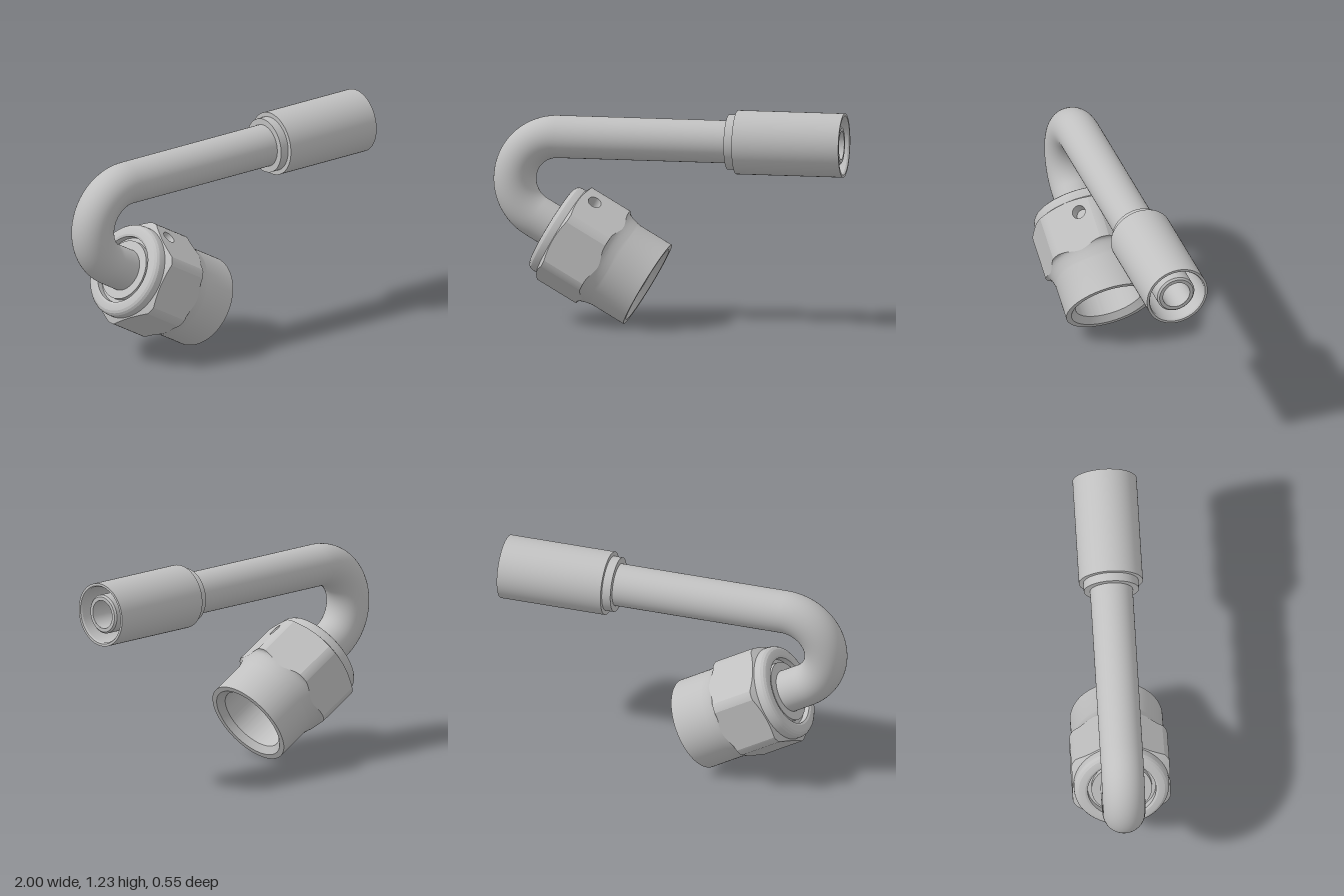
import * as THREE from 'three';
import { toCreasedNormals } from 'three/addons/utils/BufferGeometryUtils.js';

const TUBE_Y = 1.05, BEND_R = 0.245, BEND_X = -0.635;
const SWEEP = THREE.MathUtils.degToRad(150);
const BEND_END = new THREE.Vector3(
  BEND_X - BEND_R * Math.sin(SWEEP), TUBE_Y - BEND_R + BEND_R * Math.cos(SWEEP), 0);
const FLAT = 0.275, CORNER = 0.305, NECK = 0.26; // nut radii

// Centre line: straight run, 150 degree bend, short straight run into the nut
class PipePath extends THREE.Curve {
  constructor(startX, tail) {
    super();
    this.startX = startX;
    this.run = startX - BEND_X;
    this.tail = tail;
  }
  getPoint(u, target = new THREE.Vector3()) {
    const arc = BEND_R * SWEEP;
    const d = u * (this.run + arc + this.tail);
    if (d < this.run) return target.set(this.startX - d, TUBE_Y, 0);
    if (d < this.run + arc) {
      const a = (d - this.run) / BEND_R;
      return target.set(BEND_X - BEND_R * Math.sin(a), TUBE_Y - BEND_R + BEND_R * Math.cos(a), 0);
    }
    const e = d - this.run - arc;
    return target.set(BEND_END.x - e * Math.cos(SWEEP), BEND_END.y - e * Math.sin(SWEEP), 0);
  }
}

// Nut cross-section at one angle, as [distance along axis, radius]
function nutSection(phi) {
  const sector = Math.PI / 3;
  const h = Math.min(FLAT / Math.cos((phi % sector) - sector / 2), CORNER);
  const rows = [
    [0.115, 0.12], [0.115, 0.17], [0.14, 0.17], [0.14, 0.192], [0.105, 0.192],   // gland and groove
    [0.1, 0.205], [0.1, 0.225], [0.104, 0.243], [0.112, 0.256], [0.125, 0.265],  // rounded collar
    [0.14, 0.268], [0.165, 0.268],
    [0.165 + 0.02 * (h - 0.268) / 0.037, h], [0.2, h], [0.3, h],                 // hexagon
  ];
  for (let i = 0; i <= 12; i++) {                                                // concave shoulder
    const r = THREE.MathUtils.lerp(h, NECK, i / 12);
    rows.push([0.44 + 0.085 * ((CORNER - r) / (CORNER - NECK)) ** 3, r]);
  }
  rows.push([0.733, NECK], [0.733, 0.23], [0.7, 0.195], [0.41, 0.195],           // neck and bore
    [0.395, 0.165], [0.395, 0.13], [0.33, 0.08]);                                // seat
  return rows;
}

const COLUMNS = 144, WINDOW = { row: 13, from: 3, to: 11 };

// Sweep the section round the axis, leaving a window for the drilled flat
function nutGeometry() {
  const pos = [], index = [];
  let n = 0;
  for (let j = 0; j <= COLUMNS; j++) {
    const phi = (j / COLUMNS) * Math.PI * 2;
    const rows = nutSection(phi);
    n = rows.length;
    for (const [t, r] of rows) pos.push(-r * Math.cos(phi), t, r * Math.sin(phi));
  }
  for (let j = 0; j < COLUMNS; j++) {
    for (let i = 0; i < n - 1; i++) {
      if (i === WINDOW.row && j >= WINDOW.from && j < WINDOW.to) continue;
      const a = j * n + i, b = a + n;
      index.push(a, b, a + 1, b, b + 1, a + 1);
    }
  }
  const g = new THREE.BufferGeometry();
  g.setAttribute('position', new THREE.Float32BufferAttribute(pos, 3));
  g.setIndex(index);
  return toCreasedNormals(g, 0.3);
}

export function createModel() {
  const group = new THREE.Group();
  group.name = 'hoseFitting';
  const steel = new THREE.MeshStandardMaterial({ color: 0xc0c0c0, side: THREE.DoubleSide });
  steel.name = 'steel';

  const add = (name, geometry, parent = group) => {
    const mesh = new THREE.Mesh(geometry, steel);
    mesh.name = name;
    parent.add(mesh);
    return mesh;
  };

  // Bent pipe, outside and bore
  add('bentPipe', new THREE.TubeGeometry(new PipePath(0.38, 0.35), 140, 0.12, 48));
  add('pipeBore', new THREE.TubeGeometry(new PipePath(0.985, 0.33), 140, 0.08, 40));

  // Crimp sleeve with the hose nipple inside it
  const sleeveProfile = [
    [0.34, 0.12], [0.34, 0.155], [0.39, 0.155], [0.39, 0.18], [1, 0.18], [1, 0.166], [0.99, 0.16],
    [0.5, 0.16], [0.5, 0.11], [0.975, 0.11], [0.985, 0.1], [0.985, 0.08],
  ].map(([x, r]) => new THREE.Vector2(r, x));
  const sleeve = add('crimpSleeve', toCreasedNormals(new THREE.LatheGeometry(sleeveProfile, 72), 0.3));
  sleeve.rotation.z = -Math.PI / 2;
  sleeve.position.y = TUBE_Y;

  // Swivel nut, its local y running along the end of the pipe
  const nut = new THREE.Group();
  nut.name = 'swivelNut';
  nut.position.copy(BEND_END);
  nut.rotation.z = -Math.PI * 2 / 3;
  group.add(nut);
  add('nutBody', nutGeometry(), nut);

  // Drilled area of one flat, in the plane of that flat
  const drilled = new THREE.Group();
  drilled.name = 'drilledFlat';
  const c = Math.cos(Math.PI / 6), s = 0.5;
  const normal = new THREE.Vector3(-c, 0, s);
  drilled.quaternion.setFromRotationMatrix(new THREE.Matrix4().makeBasis(
    new THREE.Vector3(s, 0, c), new THREE.Vector3(0, 1, 0), normal));
  drilled.position.copy(normal).multiplyScalar(FLAT);
  nut.add(drilled);

  const edge = (j) => FLAT * Math.tan((j / COLUMNS) * Math.PI * 2 - Math.PI / 6);
  const x0 = edge(WINDOW.from), x1 = edge(WINDOW.to), hx = -0.056, hy = 0.25, hr = 0.038, depth = 0.08;
  const plate = new THREE.Shape([[x0, 0.2], [x1, 0.2], [x1, 0.3], [x0, 0.3]]
    .map(([x, y]) => new THREE.Vector2(x, y)));
  plate.holes.push(new THREE.Path().absarc(hx, hy, hr, 0, Math.PI * 2, true));
  add('flatAroundHole', new THREE.ShapeGeometry(plate, 24), drilled);

  const wall = add('holeWall', new THREE.CylinderGeometry(hr, hr, depth, 48, 1, true), drilled);
  wall.rotation.x = Math.PI / 2;
  wall.position.set(hx, hy, -depth / 2);
  add('holeFloor', new THREE.CircleGeometry(hr, 48), drilled).position.set(hx, hy, -depth);

  return group;
}
